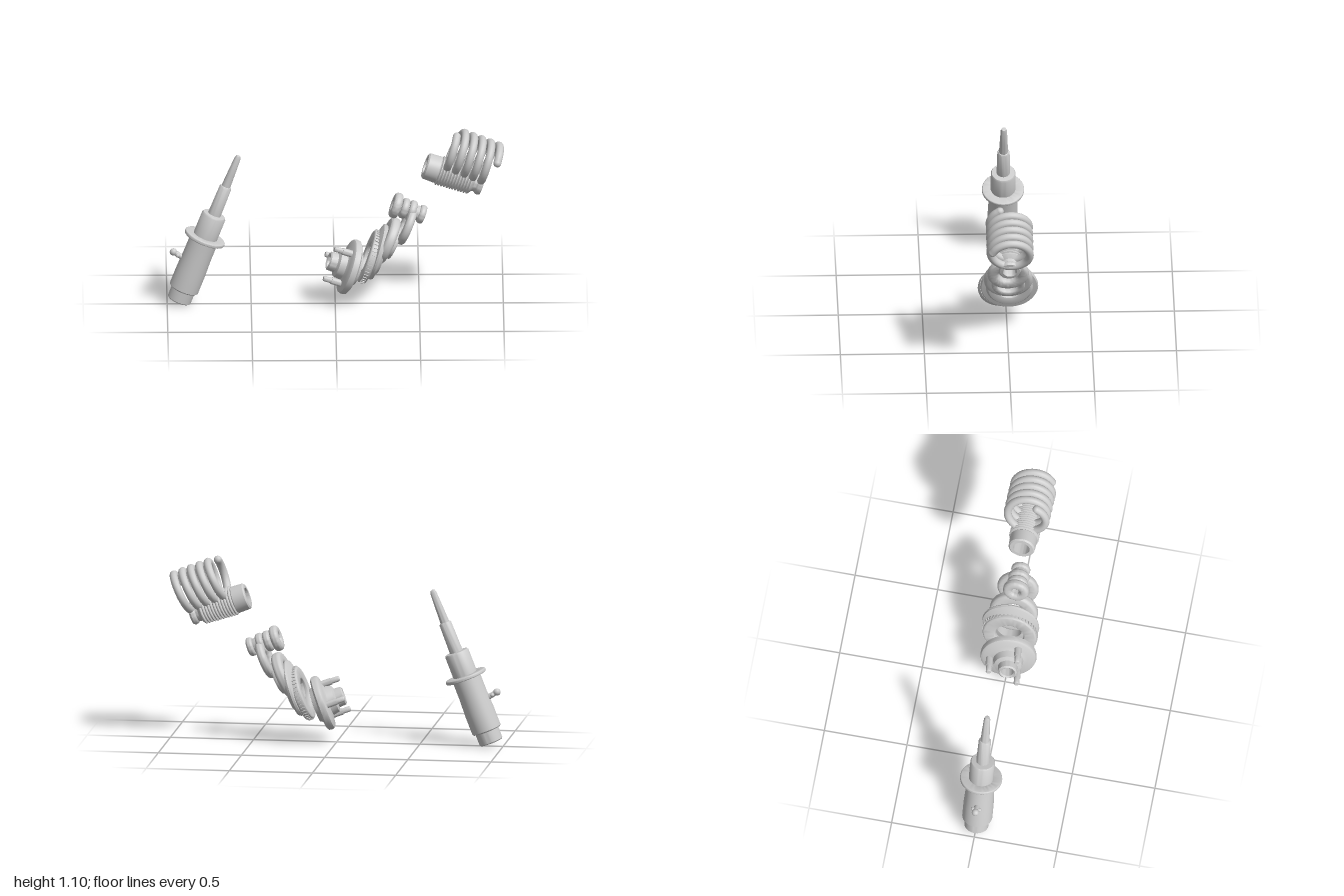
import * as THREE from 'three';
import { toCreasedNormals } from 'three/addons/utils/BufferGeometryUtils.js';

const material = new THREE.MeshStandardMaterial({ color: 0xcccccc, side: THREE.DoubleSide });
const SLANT = THREE.MathUtils.degToRad(-110); // turns local +y to the right and downward

function add(parent, name, geometry) {
  const mesh = new THREE.Mesh(geometry, material);
  mesh.name = name;
  parent.add(mesh);
  return mesh;
}

// profile points are [radius, height]
function lathe(points, segments = 48) {
  const g = new THREE.LatheGeometry(points.map(([r, y]) => new THREE.Vector2(r, y)), segments);
  return toCreasedNormals(g, 0.6);
}

// closed ring with a rounded rectangular section
function ringProfile(inner, outer, h, bevel) {
  const section = [];
  const corners = [[outer - bevel, -h + bevel, -1], [outer - bevel, h - bevel, 0],
    [inner + bevel, h - bevel, 1], [inner + bevel, -h + bevel, 2]];
  for (const [r, y, q] of corners) {
    for (let i = 0; i <= 4; i++) {
      const a = (q + i / 4) * Math.PI / 2;
      section.push([r + bevel * Math.cos(a), y + bevel * Math.sin(a)]);
    }
  }
  section.push(section[0]);
  return section;
}

function part(root, name, x, y, z = 0, tilt = SLANT, yaw = 0) {
  const g = new THREE.Group();
  g.name = name;
  g.position.set(x, y, z);
  g.rotation.set(0, yaw, tilt);
  root.add(g);
  return g;
}

function helix(radius, wire, length, turns, start) {
  const pts = [];
  const n = Math.round(turns * 20);
  for (let i = 0; i <= n; i++) {
    const a = start + (i / n) * turns * Math.PI * 2;
    pts.push(new THREE.Vector3(-radius * Math.cos(a), length * i / n, radius * Math.sin(a)));
  }
  const curve = new THREE.CatmullRomCurve3(pts);
  return { pts, geometry: new THREE.TubeGeometry(curve, n * 2, wire, 14) };
}

export function createModel() {
  const root = new THREE.Group();
  root.name = 'strutAssembly';

  // Damper: stepped body, seat flange and piston rod
  const damper = part(root, 'damper', -0.93, 0.028, 0, THREE.MathUtils.degToRad(-21.3));
  add(damper, 'damperBody', lathe([[0, 0.015], [0.045, 0.015], [0.05, 0], [0.066, 0], [0.072, 0.006],
    [0.073, 0.075], [0.083, 0.075], [0.09, 0.082], [0.09, 0.2], [0.086, 0.3], [0.086, 0.41],
    [0.074, 0.42], [0.074, 0.57], [0.068, 0.58], [0.04, 0.582], [0, 0.582]]));
  add(damper, 'seatFlange', lathe(ringProfile(0.06, 0.126, 0.011, 0.008))).position.y = 0.424;
  add(damper, 'pistonRod', lathe([[0.04, 0.57], [0.037, 0.762], [0.032, 0.77], [0.027, 0.772],
    [0.024, 0.85], [0.019, 0.96], [0.014, 0.976], [0, 0.98]], 24));

  // Hose bracket on the side of the body
  const bracket = part(root, 'hoseBracket', -0.895, 0.29, 0, THREE.MathUtils.degToRad(58));
  add(bracket, 'bracketArm', new THREE.CylinderGeometry(0.015, 0.017, 0.08, 16)).position.y = 0.04;
  add(bracket, 'bracketEnd', new THREE.SphereGeometry(0.022, 16, 12)).position.y = 0.08;
  const clip = add(bracket, 'bracketClip', new THREE.CapsuleGeometry(0.012, 0.04, 4, 12));
  clip.position.y = 0.05;
  clip.rotation.x = Math.PI / 2;

  // Top mount: hollow hub, domed plate and three studs
  const mount = part(root, 'topMount', 0.09, 0.235, 0.005, SLANT, 0.13);
  add(mount, 'mountPlate', lathe([[0, -0.07], [0.032, -0.07], [0.036, -0.135], [0.046, -0.142],
    [0.056, -0.135], [0.058, -0.095], [0.082, -0.085], [0.09, -0.045], [0.115, -0.035], [0.15, -0.032],
    [0.163, -0.024], [0.168, -0.008], [0.165, 0.01], [0.15, 0.02], [0.11, 0.024], [0.1, 0.045],
    [0.05, 0.05], [0, 0.05]].map(([r, y]) => [r, y])));
  for (let i = 0; i < 3; i++) {
    const a = -Math.PI / 2 + i * Math.PI * 2 / 3;
    const stud = add(mount, 'mountStud', lathe([[0, -0.08], [0.013, -0.08], [0.017, -0.074],
      [0.017, -0.03], [0.021, -0.03], [0.021, 0.05]], 16));
    stud.position.set(-0.112 * Math.cos(a), -0.065, 0.112 * Math.sin(a));
  }

  // Bearing with a toothed edge
  const bearing = part(root, 'bearing', 0.205, 0.295, -0.008);
  add(bearing, 'bearingRing', lathe(ringProfile(0.085, 0.163, 0.024, 0.012)));
  for (let i = 0; i < 44; i++) {
    const a = i / 44 * Math.PI * 2;
    const tooth = add(bearing, 'bearingTooth', new THREE.BoxGeometry(0.008, 0.026, 0.011));
    tooth.position.set(Math.cos(a) * 0.164, 0, Math.sin(a) * 0.164);
    tooth.rotation.y = -a;
  }

  // Upper spring seat and its rubber insulators
  const seat = part(root, 'upperSpringSeat', 0.255, 0.325, -0.012, SLANT + 0.04);
  add(seat, 'seatRing', lathe([[0.075, -0.045], [0.11, -0.035], [0.15, -0.02], [0.168, -0.012],
    [0.172, 0], [0.166, 0.012], [0.14, 0.015], [0.125, 0.03], [0.09, 0.035], [0.075, 0.03], [0.075, -0.045]]));
  const upper = part(root, 'upperInsulator', 0.31, 0.4, -0.004, SLANT - 0.08);
  add(upper, 'upperInsulatorRing', lathe(ringProfile(0.072, 0.145, 0.03, 0.022)));
  add(upper, 'upperInsulatorLip', lathe(ringProfile(0.066, 0.1, 0.024, 0.01))).position.y = 0.03;
  const lower = part(root, 'lowerInsulator', 0.425, 0.498, 0, SLANT - 0.05);
  add(lower, 'lowerInsulatorRing', lathe(ringProfile(0.058, 0.124, 0.025, 0.022)));

  // Bump stop: stack of rounded lobes with a hollow bore
  const stop = part(root, 'bumpStop', 0.362, 0.622);
  const lobes = [[0.078, 0, 0.026], [0.063, 0.052, 0.022], [0.064, 0.098, 0.022], [0.057, 0.162, 0.02]];
  for (const [r, y, h] of lobes) add(stop, 'bumpStopLobe', lathe(ringProfile(0.025, r, h, h * 0.8))).position.y = y;
  add(stop, 'bumpStopCore', lathe(ringProfile(0.025, 0.043, 0.09, 0.005))).position.y = 0.08;

  // Dust boot: smooth collar, fine bellows and a narrow end lip
  const boot = part(root, 'dustBoot', 0.535, 0.875);
  const outline = [[0.05, 0], [0.07, 0], [0.079, 0.008], [0.082, 0.08]];
  for (let i = 0; i < 12; i++) {
    const y = 0.085 + i * 0.0175;
    const r = 0.09 - 0.0008 * i;
    outline.push([r - 0.012, y], [r, y + 0.006], [r, y + 0.011]);
  }
  outline.push([0.068, 0.3], [0.056, 0.308], [0.054, 0.325], [0.063, 0.334], [0.066, 0.35], [0.06, 0.362],
    [0.042, 0.364], [0.036, 0.355], [0.036, 0.31], [0.05, 0.29], [0.05, 0]);
  add(boot, 'bootBellows', lathe(outline));

  // Coil spring with rounded wire ends
  const spring = part(root, 'coilSpring', 0.685, 0.982, 0, SLANT - 0.03);
  const coil = helix(0.117, 0.024, 0.28, 5.1, 0.5);
  add(spring, 'springWire', coil.geometry);
  for (const p of [coil.pts[0], coil.pts[coil.pts.length - 1]]) {
    add(spring, 'springEnd', new THREE.SphereGeometry(0.024, 14, 10)).position.copy(p);
  }
  return root;
}
